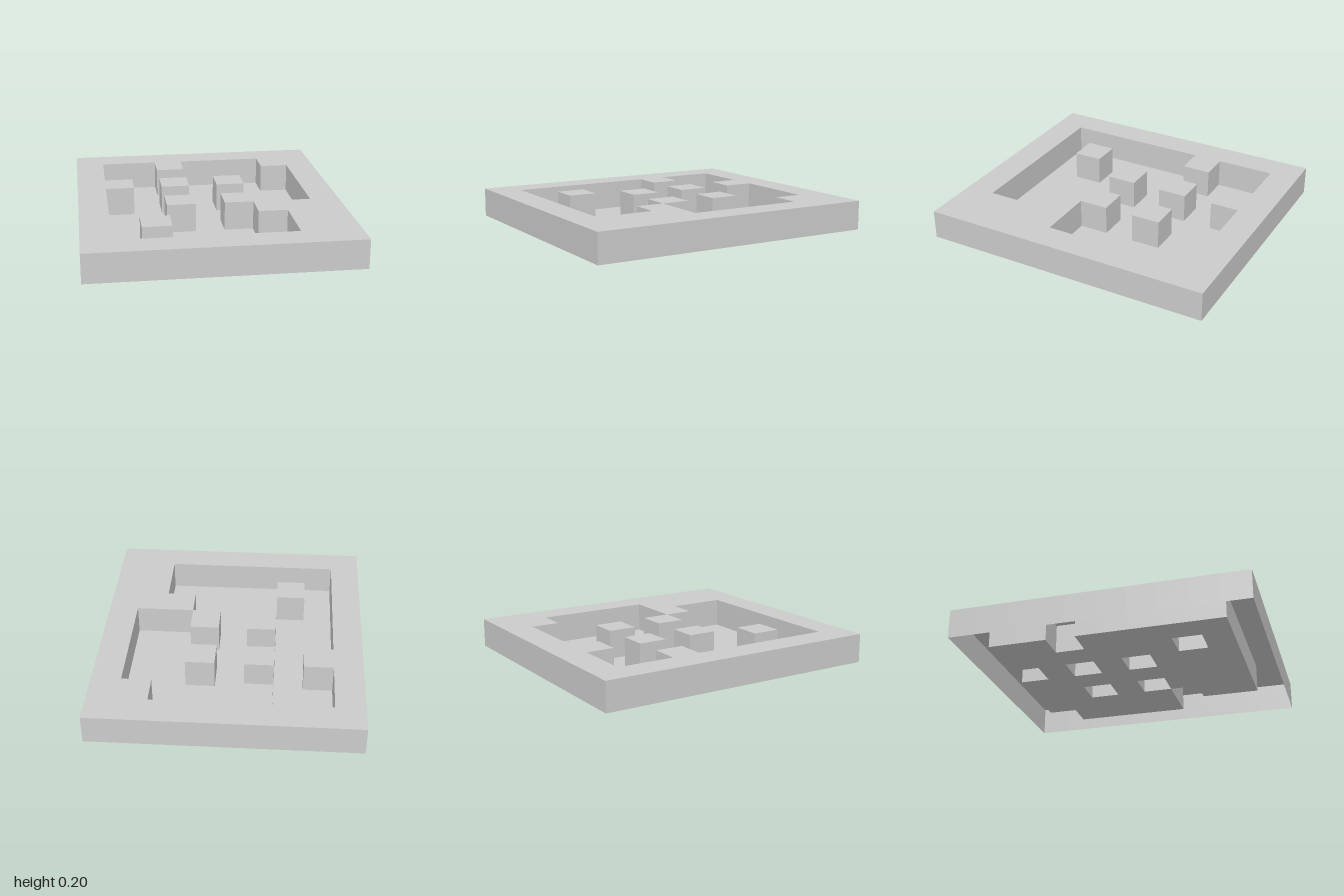
import * as THREE from 'three';
import { mergeGeometries } from 'three/addons/utils/BufferGeometryUtils.js';

// Plan of the tray, back row first: # rim, . sunken floor, o pillar
const PLAN = [
  '#########',
  '#..#...##',
  '#.......#',
  '##.o.o..#',
  '#.......#',
  '#..o.o..#',
  '#.....###',
  '#.o....##',
  '#......##',
  '#########',
];
const CELL = 0.2, HEIGHT = 0.2;
const ROWS = PLAN.length, COLS = PLAN[0].length;
const SIDES = [[1, 0], [-1, 0], [0, 1], [0, -1]];

const cellX = (c) => (c - (COLS - 1) / 2) * CELL;
const cellZ = (r) => (r - (ROWS - 1) / 2) * CELL;

// Horizontal square facing up, over one cell
const flat = (c, r, y) =>
  new THREE.PlaneGeometry(CELL, CELL).rotateX(-Math.PI / 2).translate(cellX(c), y, cellZ(r));

// Upright square on one side of a cell, facing out of that cell
const wall = (c, r, [dx, dz]) =>
  new THREE.PlaneGeometry(CELL, HEIGHT)
    .rotateY(Math.atan2(dx, dz))
    .translate(cellX(c) + dx * CELL / 2, HEIGHT / 2, cellZ(r) + dz * CELL / 2);

export function createModel() {
  const group = new THREE.Group();
  // The body is a thin shell, open underneath
  const material = new THREE.MeshStandardMaterial({
    color: 0xcccccc, flatShading: true, side: THREE.DoubleSide,
  });
  const add = (name, parts) => {
    const mesh = new THREE.Mesh(mergeGeometries(parts), material);
    mesh.name = name;
    group.add(mesh);
  };

  const rim = [], floor = [], pitWalls = [], outerWalls = [];
  for (let r = 0; r < ROWS; r++) {
    for (let c = 0; c < COLS; c++) {
      const kind = PLAN[r][c];
      if (kind === '.') {
        floor.push(flat(c, r, 0));
      } else if (kind === 'o') {
        // Pillar: a cap and four sides, hollow from below
        add('pillar', [flat(c, r, HEIGHT), ...SIDES.map((s) => wall(c, r, s))]);
      } else {
        rim.push(flat(c, r, HEIGHT));
        for (const s of SIDES) {
          const next = PLAN[r + s[1]]?.[c + s[0]];
          if (next === undefined) outerWalls.push(wall(c, r, s));
          else if (next === '.') pitWalls.push(wall(c, r, s));
        }
      }
    }
  }

  add('rimTop', rim);
  add('pitFloor', floor);
  add('pitWalls', pitWalls);
  add('outerWalls', outerWalls);
  return group;
}
